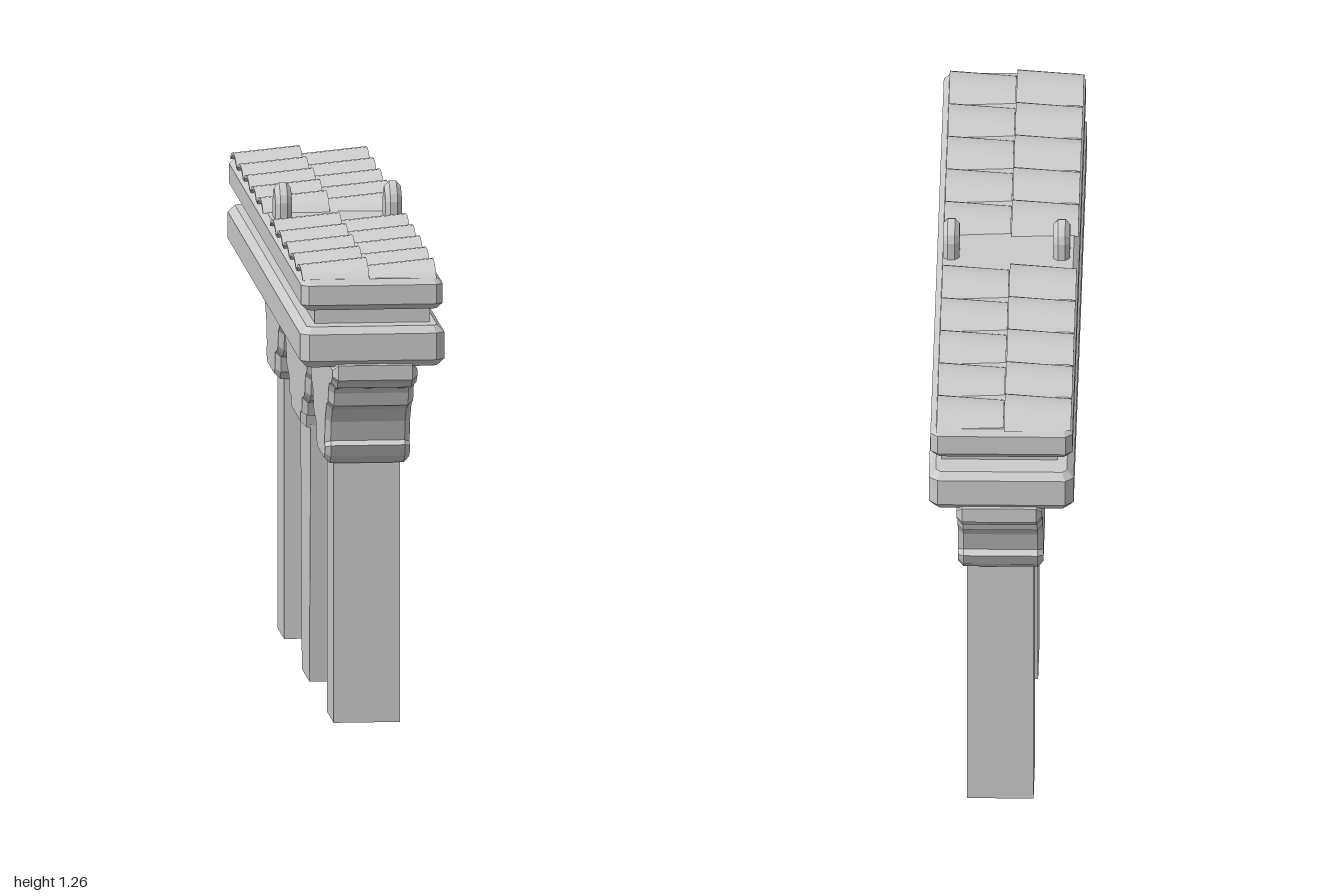
import * as THREE from 'three';
import { toCreasedNormals } from 'three/addons/utils/BufferGeometryUtils.js';

const material = new THREE.MeshStandardMaterial({ color: 0xcccccc, side: THREE.DoubleSide });

function add(parent, name, geometry) {
  const mesh = new THREE.Mesh(geometry, material);
  mesh.name = name;
  parent.add(mesh);
  return mesh;
}

// Extrudes a (z, y) outline from x0 to x1 with a chamfer kept inside the outline
function slabAlongX(points, x0, x1, bevel) {
  const shape = new THREE.Shape(points.map(([z, y]) => new THREE.Vector2(-z, y)));
  const geometry = new THREE.ExtrudeGeometry(shape, {
    depth: x1 - x0 - 2 * bevel, bevelEnabled: bevel > 0, bevelThickness: bevel,
    bevelSize: bevel, bevelOffset: -bevel, bevelSegments: 1,
  });
  return geometry.rotateY(Math.PI / 2).translate(x0 + bevel, 0, 0);
}

// Box with every edge chamfered
function chamferedBox(x0, x1, y0, y1, z0, z1, c) {
  const shape = new THREE.Shape([
    [x0 + c, z0], [x1 - c, z0], [x1, z0 + c], [x1, z1 - c],
    [x1 - c, z1], [x0 + c, z1], [x0, z1 - c], [x0, z0 + c],
  ].map(([x, z]) => new THREE.Vector2(x, -z)));
  const b = c * 0.8;
  return new THREE.ExtrudeGeometry(shape, {
    depth: y1 - y0 - 2 * b, bevelThickness: b, bevelSize: b, bevelOffset: -b, bevelSegments: 1,
  }).rotateX(-Math.PI / 2).translate(0, y0 + b, 0);
}

// Pillar lofted through four-cornered rings: back, front, panel rim, panel floor.
// Each ring is [x, yBottom, yTop, half width at bottom, half width at top].
function pillar(rings) {
  const loops = rings.map(([x, y0, y1, w0, w1]) => [
    [x, y0, w0], [x, y0, -w0], [x, y1, -w1], [x, y1, w1],
  ]);
  const position = [];
  const quad = (a, b, c, d) => position.push(...a, ...b, ...c, ...a, ...c, ...d);
  for (let k = 0; k < loops.length - 1; k++) {
    for (let i = 0; i < 4; i++) {
      const j = (i + 1) % 4;
      quad(loops[k][i], loops[k][j], loops[k + 1][j], loops[k + 1][i]);
    }
  }
  quad(...[...loops[0]].reverse());
  quad(...loops[loops.length - 1]);
  const geometry = new THREE.BufferGeometry();
  geometry.setAttribute('position', new THREE.Float32BufferAttribute(position, 3));
  geometry.computeVertexNormals();
  return geometry;
}

// Curved roof tile along x: lower and narrower at its -x end
function roofTile(length) {
  const n = 10, outer = [], inner = [];
  for (let i = 0; i <= n; i++) {
    const t = (i / n) * 2 - 1;
    const rise = Math.cos(t * 1.1) - Math.cos(1.1);
    const y = rise / (1 - Math.cos(1.1));
    const z = Math.sin(t * 1.1) / Math.sin(1.1);
    outer.push([z * 0.094, y * 0.042]);
    inner.unshift([z * 0.08, y * 0.031 - 0.002]);
  }
  const geometry = slabAlongX([...outer, ...inner], 0, length, 0);
  const p = geometry.attributes.position;
  for (let i = 0; i < p.count; i++) {
    const t = p.getX(i) / length;
    p.setY(i, p.getY(i) * (0.6 + 0.4 * t));
    p.setZ(i, p.getZ(i) * (0.9 + 0.1 * t));
  }
  geometry.computeVertexNormals();
  return toCreasedNormals(geometry, 0.6);
}

export function createModel() {
  const model = new THREE.Group();
  model.name = 'archedGateway';

  // Arcade wall: scalloped half outline from the outer end to the middle, mirrored
  const half = [
    [0.998, 0.95], [0.998, 0.912], [0.975, 0.9], [0.965, 0.888], [0.9, 0.876], [0.888, 0.862],
    [0.878, 0.828], [0.83, 0.812], [0.8, 0.775], [0.786, 0.725], [0.803, 0.715], [0.79, 0.685],
    [0.762, 0.664], [0.57, 0.664], [0.545, 0.685], [0.535, 0.725], [0.485, 0.738], [0.462, 0.755],
    [0.448, 0.795], [0.415, 0.812], [0.395, 0.84], [0.36, 0.865], [0.325, 0.84], [0.305, 0.812],
    [0.27, 0.795], [0.258, 0.755], [0.235, 0.738], [0.185, 0.725], [0.172, 0.69], [0.145, 0.645],
    [0.135, 0.61],
  ];
  const mirrored = half.map(([z, y]) => [-z, y]).reverse();
  const wall = slabAlongX([...half, ...mirrored], -0.105, 0.11, 0.014);
  // The middle springer ends higher on the plain side
  const p = wall.attributes.position;
  for (let i = 0; i < p.count; i++) {
    if (p.getX(i) < 0 && p.getY(i) < 0.66 && Math.abs(p.getZ(i)) < 0.2) p.setY(i, p.getY(i) + 0.045);
  }
  wall.computeVertexNormals();
  add(model, 'arcadeWall', wall);

  // Pillars with sunken panels on the +x side
  const sidePillar = pillar([
    [-0.08, 0, 0.7, 0.088, 0.088], [0.088, 0, 0.7, 0.088, 0.088],
    [0.088, 0.215, 0.555, 0.045, 0.045], [0.05, 0.27, 0.505, 0.024, 0.024],
  ]);
  for (const side of [1, -1]) {
    add(model, side > 0 ? 'frontPillar' : 'backPillar', sidePillar).position.z = side * 0.663;
  }
  add(model, 'middlePillar', pillar([
    [-0.08, 0, 0.68, 0.1, 0.139], [0.088, 0, 0.68, 0.1, 0.139],
    [0.088, 0.215, 0.478, 0.056, 0.072], [0.06, 0.235, 0.45, 0.037, 0.046],
  ]));

  // Entablature
  add(model, 'lowerCornice', chamferedBox(-0.185, 0.18, 0.942, 1.045, -0.995, 0.982, 0.022));
  add(model, 'frieze', new THREE.BoxGeometry(0.292, 0.07, 1.82)).position.set(0.003, 1.067, 0);
  add(model, 'upperCornice', chamferedBox(-0.182, 0.176, 1.087, 1.165, -0.99, 0.976, 0.018));

  // Two rows of roof tiles, with a gap at the middle
  const roof = new THREE.Group();
  roof.name = 'roofTiles';
  model.add(roof);
  const tile = roofTile(0.168);
  for (const [row, x] of [-0.178, -0.008].entries()) {
    for (const side of [1, -1]) {
      for (let i = 0; i < 5; i++) {
        add(roof, 'roofTile', tile).position.set(x, 1.163 - row * 0.005, -0.01 + side * (0.174 + 0.177 * i));
      }
    }
  }

  // Pointed finials in the gap
  const finial = slabAlongX([
    [0.048, 1.155], [0.048, 1.21], [0.04, 1.23], [0.02, 1.248], [0, 1.257],
    [-0.02, 1.248], [-0.04, 1.23], [-0.048, 1.21], [-0.048, 1.155],
  ], -0.021, 0.021, 0.012);
  for (const x of [-0.138, 0.14]) add(model, 'finial', finial).position.set(x, 0, -0.008);

  return model;
}
